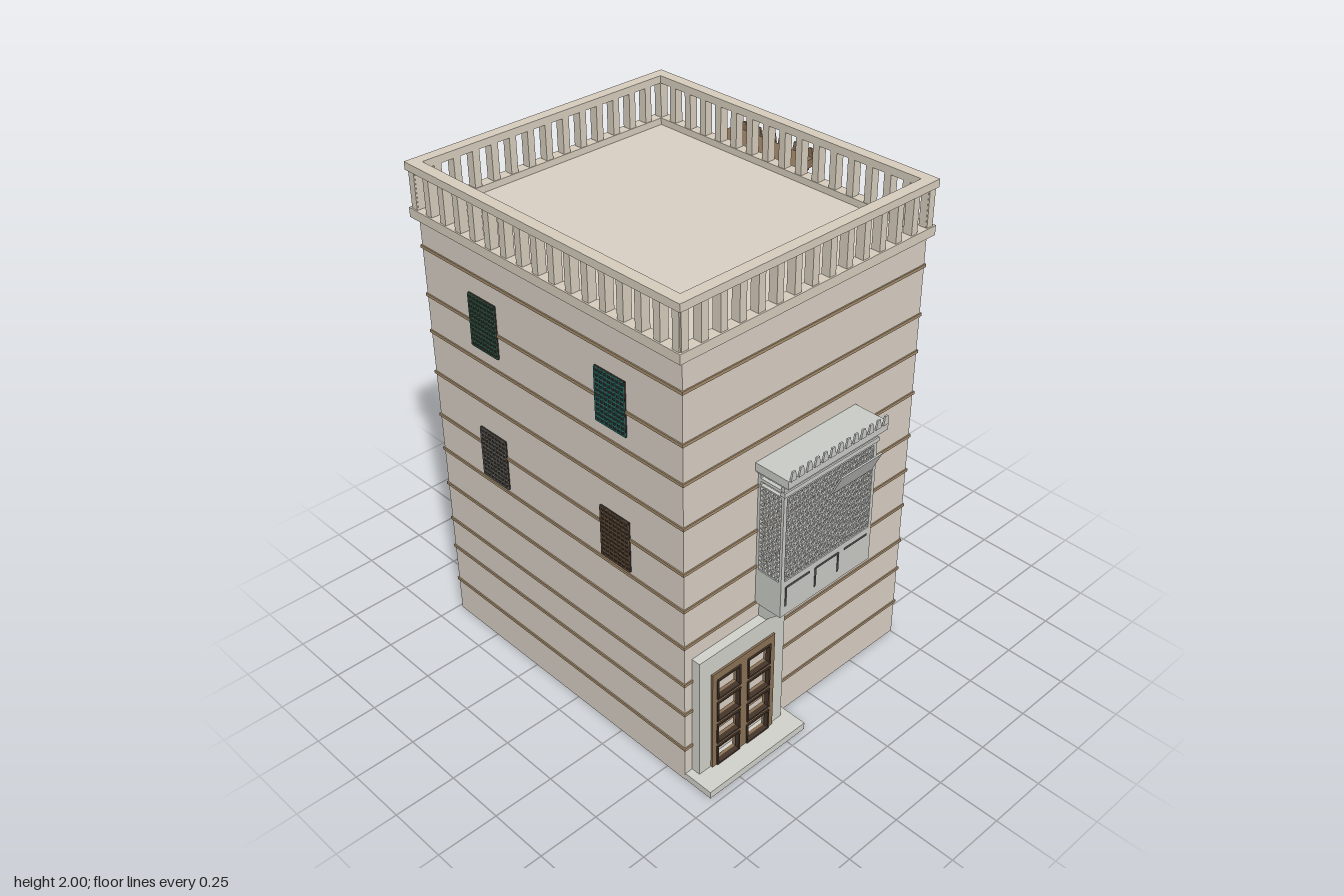
import * as THREE from 'three';
import { mergeGeometries } from 'three/addons/utils/BufferGeometryUtils.js';

const paint = (color) => new THREE.MeshStandardMaterial({ color });
const wallMat = paint(0xd9d0c4), trimMat = paint(0xd6cdbd), bandMat = paint(0xa68d6c);
const stoneMat = paint(0xd2d2cb), greyMat = paint(0xc9cbc6), brownMat = paint(0x8a7056);
const darkMat = paint(0x2b2622), slateMat = paint(0x62645f), umberMat = paint(0x44352a);

// Box geometry from its limits
function box(x0, x1, y0, y1, z0, z1) {
  return new THREE.BoxGeometry(x1 - x0, y1 - y0, z1 - z0)
    .translate((x0 + x1) / 2, (y0 + y1) / 2, (z0 + z1) / 2);
}

function add(parent, name, material, geometries) {
  const mesh = new THREE.Mesh(mergeGeometries([geometries].flat().map((g) => g.toNonIndexed())), material);
  mesh.name = name;
  parent.add(mesh);
  return mesh;
}

// Crossed bars filling a rectangle in the xy plane
function lattice(x0, x1, y0, y1, z0, z1, step, bar) {
  const out = [];
  const nx = Math.round((x1 - x0) / step), ny = Math.round((y1 - y0) / step);
  for (let i = 0; i <= nx; i++) {
    const x = x0 + ((x1 - x0) * i) / nx;
    out.push(box(x - bar / 2, x + bar / 2, y0, y1, z0, z1));
  }
  for (let j = 0; j <= ny; j++) {
    const y = y0 + ((y1 - y0) * j) / ny;
    out.push(box(x0, x1, y - bar / 2, y + bar / 2, z0 + 0.001, z1 - 0.001));
  }
  return out;
}

// One storey of a projecting lattice window: solid base, lattice, header
function bayStorey(parent, w, d, y0, yLat, yTop, mat, trim) {
  const h = w / 2, yHead = yLat + 0.36;
  add(parent, 'bayBase', mat, box(-h, h, y0, yLat, 0, d));
  const posts = [];
  for (const s of [-1, 1]) for (const z of [0.004, d - 0.008]) {
    const x = s * (h - 0.008);
    posts.push(box(x - 0.008, x + 0.008, yLat, yTop, z - 0.004, z + 0.008));
  }
  add(parent, 'bayPosts', mat, posts);
  const bars = lattice(-h + 0.014, h - 0.014, yLat, yHead, d - 0.012, d - 0.004, 0.0195, 0.007);
  for (const s of [-1, 1]) {
    for (const g of lattice(0.008, d - 0.012, yLat, yHead, -0.004, 0.004, 0.0195, 0.006)) {
      bars.push(g.rotateY(-Math.PI / 2).translate(s * (h - 0.008), 0, 0));
    }
  }
  add(parent, 'bayLattice', mat, bars);
  const head = [
    box(-h, h, yHead, yTop, d - 0.014, d),
    box(-h - 0.003, h + 0.003, yHead + 0.012, yHead + 0.03, d - 0.014, d + 0.006),
  ];
  for (const s of [-1, 1]) {
    const x = s * (h - 0.007);
    head.push(box(x - 0.007, x + 0.007, yHead, yHead + 0.006, 0, d));
    head.push(box(x - 0.007, x + 0.007, yHead + 0.022, yHead + 0.034, 0, d));
  }
  add(parent, 'bayHeader', mat, head);
  // Three panel mouldings on the base
  const trims = [], pw = w / 3, t = 0.0035, top = yLat - 0.028, low = y0 + 0.042;
  for (let i = 0; i < 3; i++) {
    const c = (i - 1) * pw * 0.96, q = pw * 0.38;
    trims.push(box(c - q, c + q, top - t, top + t, d, d + 0.003));
    if (i < 2) trims.push(box(c - q - t, c - q + t, low, top, d, d + 0.003));
    if (i === 1) trims.push(box(c + q - t, c + q + t, low, top, d, d + 0.003));
  }
  add(parent, 'basePanelMoulding', trim, trims);
}

// Overhanging cornice with a row of tapered teeth
function bayCornice(parent, w, d, y, mat) {
  const h = w / 2 + 0.015;
  add(parent, 'bayCornice', mat, [
    box(-h, h, y, y + 0.033, 0, d + 0.03),
    box(-h + 0.008, h - 0.008, y - 0.012, y, 0, d + 0.014),
  ]);
  const n = Math.round((2 * h) / 0.0375), step = (2 * h) / n, teeth = [];
  for (let i = 0; i < n; i++) {
    const c = -h + step * (i + 0.5);
    const s = new THREE.Shape([[-0.014, 0], [0.014, 0], [0.007, 0.036], [-0.007, 0.036]]
      .map(([a, b]) => new THREE.Vector2(c + a, y + 0.031 + b)));
    teeth.push(new THREE.ExtrudeGeometry(s, { depth: 0.007, bevelEnabled: false }).translate(0, 0, d + 0.029));
  }
  const crest = new THREE.Mesh(mergeGeometries(teeth), mat);
  crest.name = 'bayCrest';
  parent.add(crest);
}

// Triangular brackets below the bay
function bayBrackets(parent, w, d, y, mat) {
  const s = new THREE.Shape([new THREE.Vector2(0, 0), new THREE.Vector2(0, -0.097), new THREE.Vector2(0.012, -0.097), new THREE.Vector2(d - 0.004, 0)]);
  for (const k of [-1, 0, 1]) {
    const m = new THREE.Mesh(new THREE.ExtrudeGeometry(s, { depth: 0.02, bevelEnabled: false }), mat);
    m.name = 'bayBracket';
    m.rotation.y = -Math.PI / 2;
    m.position.set(k * (w / 2 - 0.03) + 0.01, y, 0);
    parent.add(m);
  }
}

// Small shutter tilted outward at its top
function bayFlap(parent, x0, x1, d, mat) {
  const m = add(parent, 'bayFlap', mat, box(x0, x1, 0, 0.098, -0.003, 0.003));
  m.position.set(0, 1.057, d + 0.005);
  m.rotation.x = 0.43;
}

export function createModel() {
  const model = new THREE.Group();
  const X0 = -0.652, X1 = 0.505, Z0 = -0.735, Z1 = 0.594;

  add(model, 'walls', wallMat, box(X0, X1, 0, 1.8, Z0, Z1));
  add(model, 'wallBands', bandMat, [0.155, 0.325, 0.465, 0.637, 0.802, 0.96, 1.15, 1.327, 1.48, 1.675]
    .map((y) => box(X0 - 0.005, X1 + 0.005, y - 0.006, y + 0.006, Z0 - 0.005, Z1 + 0.005)));

  // Parapet: two rails on each side with square balusters between
  const px0 = -0.675, px1 = 0.53, pz0 = -0.757, pz1 = 0.61, t = 0.045;
  const ring = (y0, y1) => [
    box(px0, px1, y0, y1, pz1 - t, pz1), box(px0, px1, y0, y1, pz0, pz0 + t),
    box(px0, px0 + t, y0, y1, pz0 + t, pz1 - t), box(px1 - t, px1, y0, y1, pz0 + t, pz1 - t),
  ];
  add(model, 'parapetRails', trimMat, [...ring(1.79, 1.827), ...ring(1.97, 2)]);
  const posts = [];
  const span = (a, b, n, f) => {
    for (let i = 0; i <= n; i++) f(a + ((b - a) * i) / n);
  };
  span(px0 + 0.026, px1 - 0.026, 14, (x) => {
    for (const z of [pz0 + 0.024, pz1 - 0.024]) posts.push(box(x - 0.015, x + 0.015, 1.827, 1.97, z - 0.018, z + 0.018));
  });
  span(pz0 + 0.026, pz1 - 0.026, 16, (z) => {
    for (const x of [px0 + 0.024, px1 - 0.024]) posts.push(box(x - 0.018, x + 0.018, 1.827, 1.97, z - 0.015, z + 0.015));
  });
  add(model, 'parapetBalusters', trimMat, posts);

  // Doorway: step, stone surround, panelled double door
  const door = new THREE.Group();
  door.name = 'doorway';
  model.add(door);
  add(door, 'doorStep', stoneMat, box(-0.65, -0.155, 0, 0.03, Z1 - 0.01, 0.722));
  add(door, 'doorSurround', stoneMat, [
    box(-0.617, -0.56, 0.03, 0.565, Z1, 0.632), box(-0.245, -0.19, 0.03, 0.565, Z1, 0.632),
    box(-0.56, -0.245, 0.48, 0.565, Z1, 0.632),
  ]);
  const leaf = new THREE.Shape([[-0.56, 0.03], [-0.245, 0.03], [-0.245, 0.48], [-0.56, 0.48]].map((p) => new THREE.Vector2(...p)));
  const rims = [];
  for (const cx of [-0.48, -0.327]) for (let r = 0; r < 4; r++) {
    const cy = 0.077 + r * 0.108, a = 0.055, b = 0.043, e = 0.007;
    leaf.holes.push(new THREE.Path([[-a, -b], [-a, b], [a, b], [a, -b]].map(([x, y]) => new THREE.Vector2(cx + x, cy + y))));
    for (const s of [-1, 1]) {
      rims.push(box(cx - a - 0.003, cx + a + 0.003, cy + s * b - e / 2, cy + s * b + e / 2, 0.625, 0.646));
      rims.push(box(cx + s * a - e / 2, cx + s * a + e / 2, cy - b, cy + b, 0.625, 0.645));
    }
  }
  const leaves = new THREE.Mesh(new THREE.ExtrudeGeometry(leaf, { depth: 0.03, bevelEnabled: false }), brownMat);
  leaves.name = 'doorLeaves';
  leaves.position.z = 0.61;
  door.add(leaves);
  add(door, 'doorPanelRims', umberMat, rims);

  // Grey lattice bay on the front
  const frontBay = new THREE.Group();
  frontBay.name = 'frontBay';
  frontBay.position.set(-0.07, 0, Z1);
  model.add(frontBay);
  bayStorey(frontBay, 0.472, 0.12, 0.637, 0.79, 1.215, greyMat, slateMat);
  bayCornice(frontBay, 0.472, 0.12, 1.217, greyMat);
  bayBrackets(frontBay, 0.472, 0.12, 0.64, greyMat);
  bayFlap(frontBay, -0.005, 0.208, 0.12, greyMat);

  // Two-storey brown lattice bay on the left side
  const sideBay = new THREE.Group();
  sideBay.name = 'sideBay';
  sideBay.position.set(X1, 0, -0.272);
  sideBay.rotation.y = Math.PI / 2;
  model.add(sideBay);
  bayStorey(sideBay, 0.386, 0.12, 0.637, 0.79, 1.21, brownMat, umberMat);
  bayStorey(sideBay, 0.386, 0.12, 1.222, 1.355, 1.785, brownMat, umberMat);
  bayCornice(sideBay, 0.386, 0.12, 1.782, brownMat);
  bayBrackets(sideBay, 0.386, 0.12, 0.64, brownMat);
  bayFlap(sideBay, 0, 0.16, 0.12, brownMat);

  // Grilled windows on both sides
  const teal = paint(0x2f7f78), rust = paint(0x7a5f45), blue = paint(0x40658f), green = paint(0x3a6a55), ash = paint(0x77756f);
  const windows = [
    [1, 0.26, 1.383, teal], [1, 0.26, 0.82, rust], [1, -0.403, 1.383, blue], [1, -0.403, 0.82, blue],
    [-1, 0.26, 1.383, teal], [-1, 0.26, 0.82, rust], [-1, -0.403, 1.383, green], [-1, -0.403, 0.82, ash],
  ];
  for (const [side, z, y, mat] of windows) {
    const g = new THREE.Group();
    g.name = 'sideWindow';
    g.position.set(side > 0 ? X1 : X0, y, z);
    g.rotation.y = (side * Math.PI) / 2;
    add(g, 'windowPane', darkMat, box(-0.073, 0.073, 0, 0.213, -0.004, 0.007));
    add(g, 'windowGrille', mat, lattice(-0.07, 0.07, 0.003, 0.21, 0.005, 0.01, 0.0195, 0.005));
    model.add(g);
  }
  return model;
}
